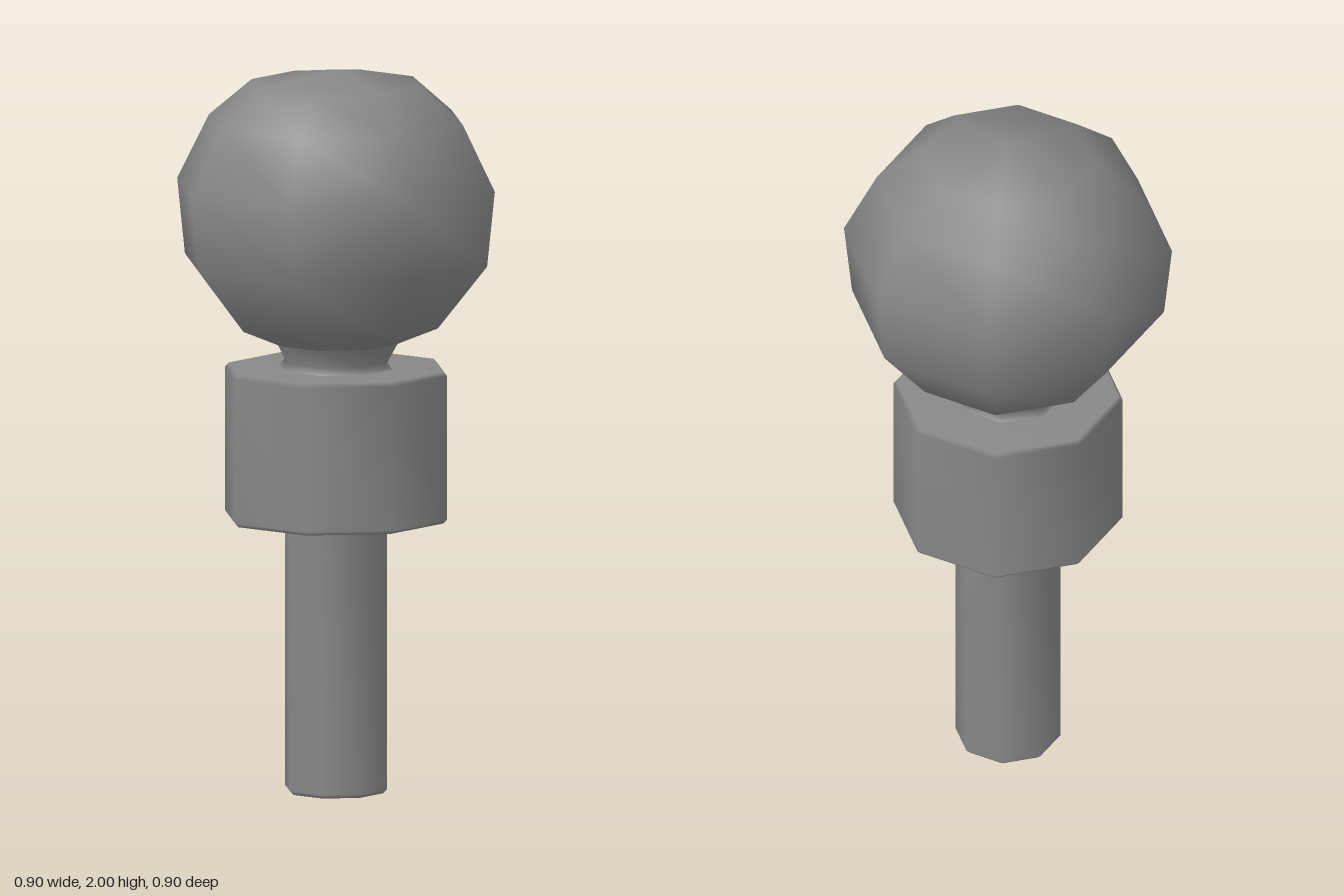
import * as THREE from 'three';
import { mergeVertices, mergeGeometries } from 'three/addons/utils/BufferGeometryUtils.js';

const SIDES = 8;
const material = new THREE.MeshStandardMaterial({ color: 0x888888 });

// Eight-sided turned surface, profile listed from bottom to top as [radius, y]
function turned(profile) {
  const g = new THREE.LatheGeometry(profile.map(([r, y]) => new THREE.Vector2(r, y)), SIDES).toNonIndexed();
  g.deleteAttribute('uv');
  g.deleteAttribute('normal');
  return g;
}

// Weld and smooth, so that large faces dominate the narrow bevels
function smoothMesh(name, geometry) {
  const g = mergeVertices(geometry, 1e-4);
  g.computeVertexNormals();
  const mesh = new THREE.Mesh(g, material);
  mesh.name = name;
  return mesh;
}

// Shallow peak: the apex meets only five rim corners, the other three lie in flat ears
function ballCap(radius, rimY, topY) {
  const rim = (k) => {
    const a = (k * Math.PI * 2) / SIDES;
    return [radius * Math.sin(a), rimY, radius * Math.cos(a)];
  };
  const positions = [];
  const fan = [1, 3, 4, 5, 7];
  fan.forEach((k, i) => {
    positions.push(0, topY, 0, ...rim(k), ...rim(fan[(i + 1) % fan.length]));
  });
  for (const k of [0, 2, 6]) positions.push(...rim(k - 1), ...rim(k), ...rim(k + 1));
  const g = new THREE.BufferGeometry();
  g.setAttribute('position', new THREE.Float32BufferAttribute(positions, 3));
  return g;
}

// Round shading: normals point straight away from a centre on the axis
function shadeAsSphere(geometry, centreY) {
  const { position, normal } = geometry.attributes;
  const n = new THREE.Vector3();
  for (let i = 0; i < position.count; i++) {
    n.fromBufferAttribute(position, i);
    n.y -= centreY;
    n.normalize();
    normal.setXYZ(i, n.x, n.y, n.z);
  }
}

export function createModel() {
  const model = new THREE.Group();
  model.name = 'ballStud';

  // Shaft with a small bevel at the foot
  model.add(smoothMesh('shaft', turned([
    [0, 0], [0.133, 0], [0.145, 0.012], [0.145, 0.77],
  ])));

  // Collar with bevelled rims
  model.add(smoothMesh('collar', turned([
    [0.13, 0.755], [0.305, 0.755], [0.316, 0.766], [0.316, 1.164], [0.305, 1.175], [0.13, 1.175],
  ])));

  // Waisted neck
  model.add(smoothMesh('neck', turned([
    [0.16, 1.175], [0.146, 1.194], [0.175, 1.247],
  ])));

  // Ball and its peaked cap
  const shell = turned([
    [0.175, 1.247], [0.29, 1.295], [0.43, 1.472], [0.452, 1.68], [0.362, 1.86], [0.24, 1.963],
  ]);
  const ball = smoothMesh('ball', mergeGeometries([shell, ballCap(0.24, 1.963, 2)]));
  shadeAsSphere(ball.geometry, 1.62);
  model.add(ball);

  return model;
}
